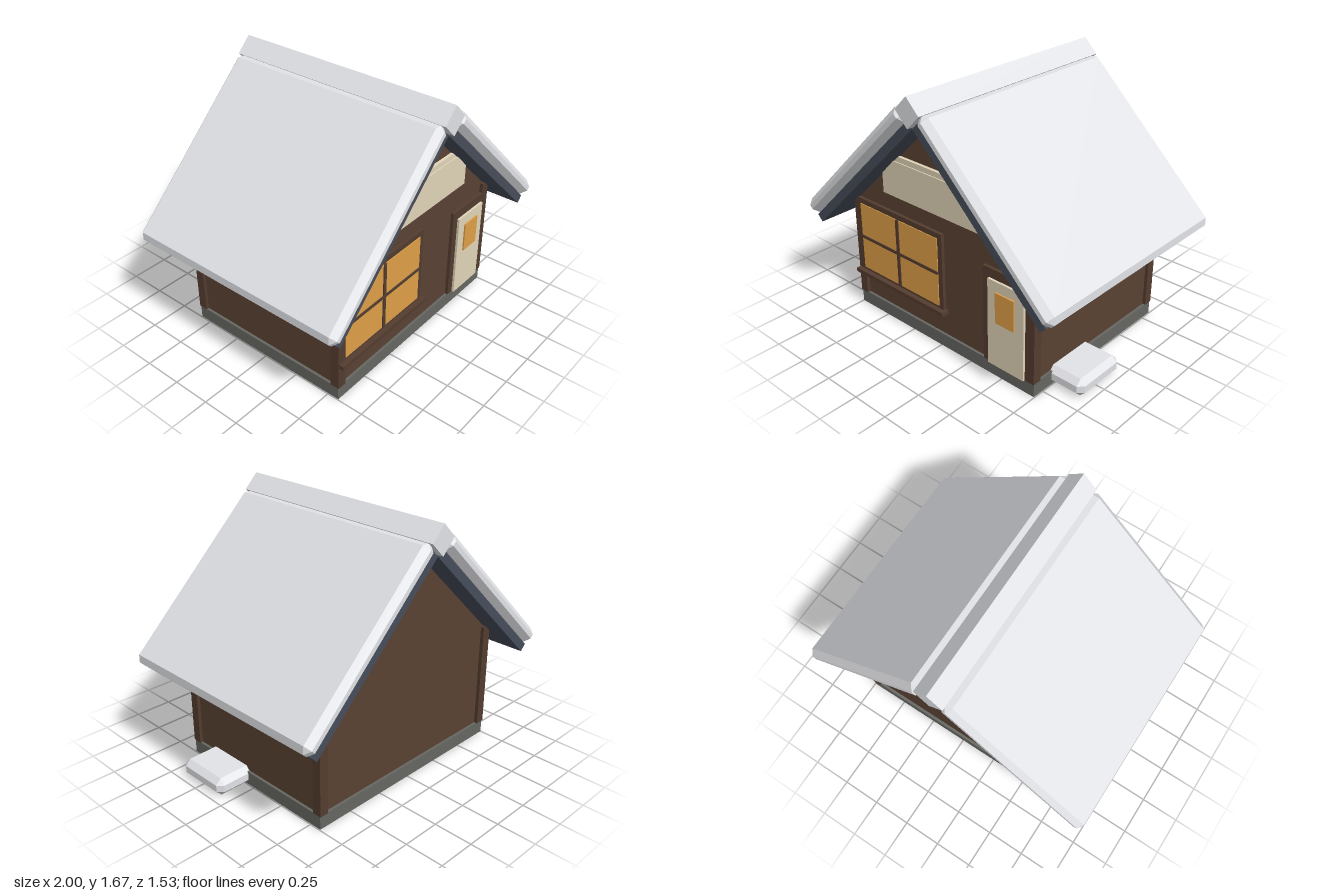
import * as THREE from 'three';
import { ConvexGeometry } from 'three/addons/geometries/ConvexGeometry.js';

const mat = (name, color) => {
  const m = new THREE.MeshStandardMaterial({ color });
  m.name = name;
  return m;
};

// Box with every edge cut by a flat chamfer c
function chamferBox(w, h, d, c) {
  const pts = [];
  for (const sx of [-1, 1]) for (const sy of [-1, 1]) for (const sz of [-1, 1]) {
    const x = w / 2, y = h / 2, z = d / 2;
    pts.push(
      new THREE.Vector3(sx * x, sy * (y - c), sz * (z - c)),
      new THREE.Vector3(sx * (x - c), sy * y, sz * (z - c)),
      new THREE.Vector3(sx * (x - c), sy * (y - c), sz * z));
  }
  return new ConvexGeometry(pts);
}

export function createModel() {
  const root = new THREE.Group();
  root.name = 'cabin';
  const wood = mat('wallBrown', 0x5a4233);
  const trim = mat('trimBrown', 0x543d2f);
  const stone = mat('stoneGrey', 0x666762);
  const slate = mat('roofSlate', 0x474e5b);
  const snow = mat('snowWhite', 0xe7e8ec);
  const cream = mat('cream', 0xe2d5b9);
  const glow = mat('windowAmber', 0xe0a149);

  const add = (name, geo, m, x = 0, y = 0, z = 0, rz = 0) => {
    const mesh = new THREE.Mesh(geo, m);
    mesh.name = name;
    mesh.position.set(x, y, z);
    mesh.rotation.z = rz;
    root.add(mesh);
    return mesh;
  };
  // Box given by its limits on each axis
  const box = (name, m, x0, x1, y0, y1, z0, z1) =>
    add(name, new THREE.BoxGeometry(x1 - x0, y1 - y0, z1 - z0), m,
      (x0 + x1) / 2, (y0 + y1) / 2, (z0 + z1) / 2);

  // Foundation and gabled body
  box('foundation', stone, -0.747, 0.747, 0.003, 0.09, -0.577, 0.577);
  const gable = new THREE.Shape([[-0.73, 0.09], [0.73, 0.09], [0.73, 0.785], [0, 1.48], [-0.73, 0.785]]
    .map(([x, y]) => new THREE.Vector2(x, y)));
  add('walls', new THREE.ExtrudeGeometry(gable, { depth: 1.12, bevelEnabled: false }), wood, 0, 0, -0.56);

  // Corner posts
  for (const sx of [-1, 1]) for (const sz of [-1, 1])
    add('cornerPost', new THREE.BoxGeometry(0.06, 0.695, 0.06), trim, sx * 0.72, 0.4375, sz * 0.553);

  // Roof panels with snow slabs on top
  const pitch = THREE.MathUtils.degToRad(43.9);
  for (const s of [-1, 1]) {
    add('roofPanel', new THREE.BoxGeometry(1.262, 0.055, 1.46), slate, s * 0.474, 1.055, 0, -s * pitch);
    add('roofSnow', chamferBox(1.28, 0.102, 1.53, 0.036), snow, s * 0.53, 1.114, 0, -s * pitch);
  }
  add('ridgeCap', new THREE.BoxGeometry(0.131, 0.131, 1.53), snow, 0, 1.574, 0, Math.PI / 4);

  // Large front window
  box('windowFrame', trim, -0.725, 0.035, 0.255, 0.785, 0.55, 0.582);
  for (const [x0, x1] of [[-0.69, -0.357], [-0.333, 0]])
    for (const [y0, y1] of [[0.29, 0.508], [0.528, 0.75]])
      box('windowPane', glow, x0, x1, y0, y1, 0.58, 0.587);
  box('mullion', trim, -0.357, -0.333, 0.29, 0.75, 0.57, 0.593);
  box('transom', trim, -0.69, 0, 0.508, 0.528, 0.57, 0.592);
  box('windowSill', trim, -0.745, 0.055, 0.245, 0.272, 0.55, 0.614);

  // Door
  box('doorFrame', trim, 0.365, 0.73, 0.09, 0.72, 0.55, 0.581);
  box('door', cream, 0.412, 0.682, 0.09, 0.66, 0.56, 0.596);
  box('doorWindow', glow, 0.477, 0.617, 0.395, 0.595, 0.596, 0.6055);

  // Blank gable board with raised centre
  box('gableBoard', cream, -0.46, 0.46, 0.90, 1.175, 0.55, 0.58);
  box('gableBoardCentre', cream, -0.415, 0.415, 0.945, 1.14, 0.58, 0.587);

  // Snow drift against the left wall
  add('snowDrift', chamferBox(0.3, 0.115, 0.37, 0.035), snow, 0.813, 0.0575, 0.235);

  return root;
}
